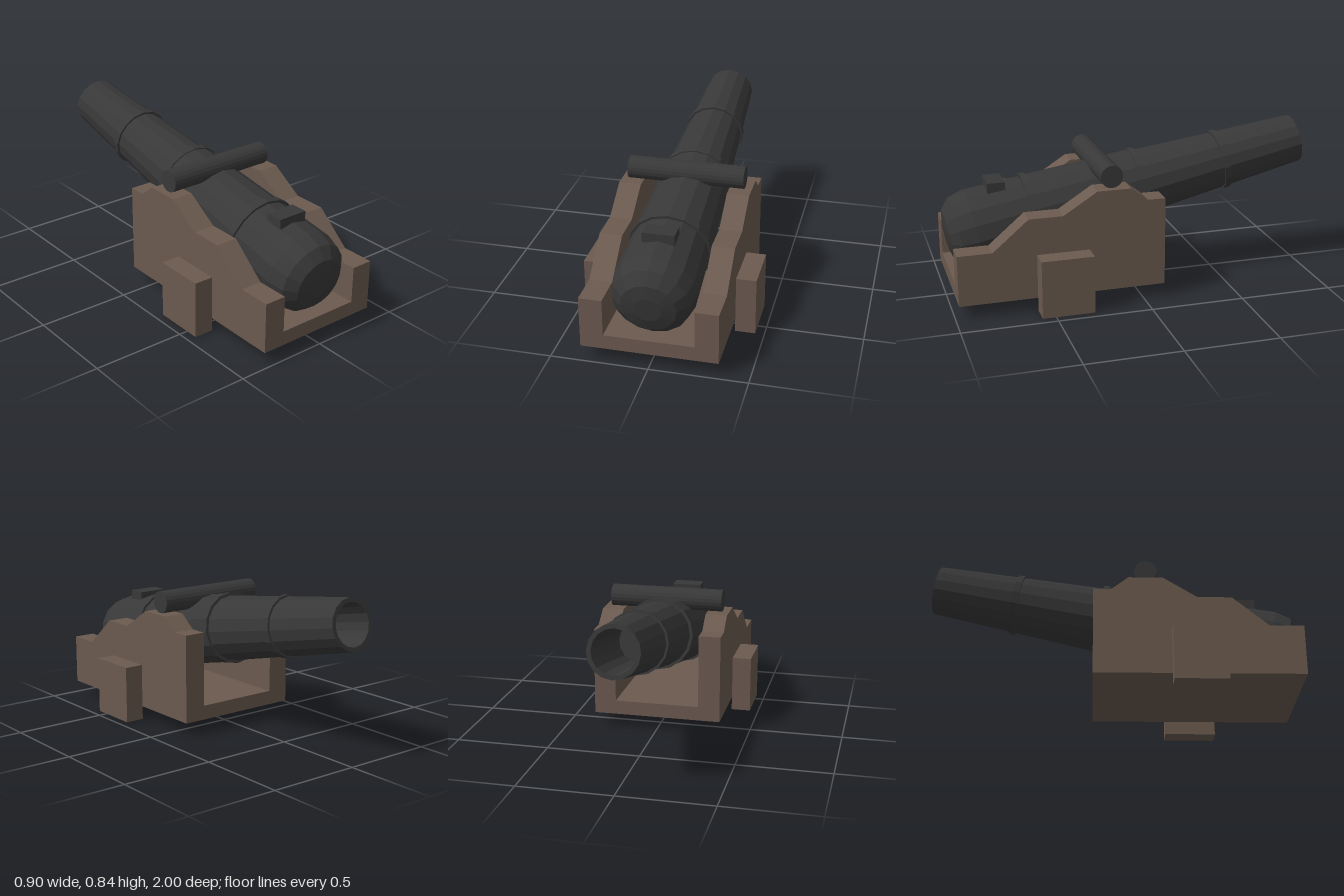
import * as THREE from 'three';

const iron = new THREE.MeshStandardMaterial({ color: 0x383838, flatShading: true });
const wood = new THREE.MeshStandardMaterial({ color: 0x6b5a4f, flatShading: true });

function addMesh(parent, name, geometry, material, x = 0, y = 0, z = 0) {
  const mesh = new THREE.Mesh(geometry, material);
  mesh.name = name;
  mesh.position.set(x, y, z);
  parent.add(mesh);
  return mesh;
}

// Four profile points that raise a band around the barrel
const band = (s, before, top, after, half = 0.017) => [
  [before, s - half], [top, s - half], [top, s + half], [after, s + half],
];

export function createModel() {
  const model = new THREE.Group();
  model.name = 'cannon';

  // Barrel: [radius, distance from breech], turned as one piece with a hollow bore
  const profile = [
    [0, 0], [0.07, 0], [0.14, 0.014], [0.196, 0.063], [0.215, 0.15],
    ...band(0.47, 0.205, 0.218, 0.205),
    ...band(1.075, 0.186, 0.192, 0.176),
    ...band(1.548, 0.154, 0.165, 0.153),
    [0.132, 2.0], [0.11, 2.0], [0.105, 1.5], [0, 1.5],
  ].map(([r, s]) => new THREE.Vector2(r, s));
  const barrel = addMesh(model, 'barrel', new THREE.LatheGeometry(profile, 16), iron, 0, 0.33, 0.987);
  barrel.rotation.x = THREE.MathUtils.degToRad(11 - 90);

  // Trunnion bar and vent block
  const trunnion = addMesh(model, 'trunnion', new THREE.CylinderGeometry(0.06, 0.06, 0.62, 20), iron, 0, 0.678, 0.162);
  trunnion.rotation.z = Math.PI / 2;
  addMesh(model, 'ventBlock', new THREE.BoxGeometry(0.164, 0.08, 0.095), iron, 0, 0.586, 0.722);

  // Stepped side cheeks: outline as [z, y]
  const outline = [
    [0.98, 0.073], [0.98, 0.345], [0.8, 0.345], [0.61, 0.506], [0.43, 0.506],
    [0.25, 0.62], [0.07, 0.62], [-0.02, 0.55], [-0.115, 0.55], [-0.115, 0.073],
  ].map(([z, y]) => new THREE.Vector2(-z, y));
  const cheek = new THREE.ExtrudeGeometry(new THREE.Shape(outline), { depth: 0.118, bevelEnabled: false });
  cheek.rotateY(Math.PI / 2);

  for (const [side, sign] of [['left', 1], ['right', -1]]) {
    addMesh(model, side + 'Cheek', cheek, wood, sign > 0 ? 0.23 : -0.348, 0, 0);
    // Block feet on the outside of the cheeks
    addMesh(model, side + 'Foot', new THREE.BoxGeometry(0.105, 0.31, 0.278), wood, sign * 0.4, 0.155, 0.432);
  }

  // Carriage floor
  addMesh(model, 'carriageFloor', new THREE.BoxGeometry(0.46, 0.077, 1.095), wood, 0, 0.1115, 0.4325);

  return model;
}
